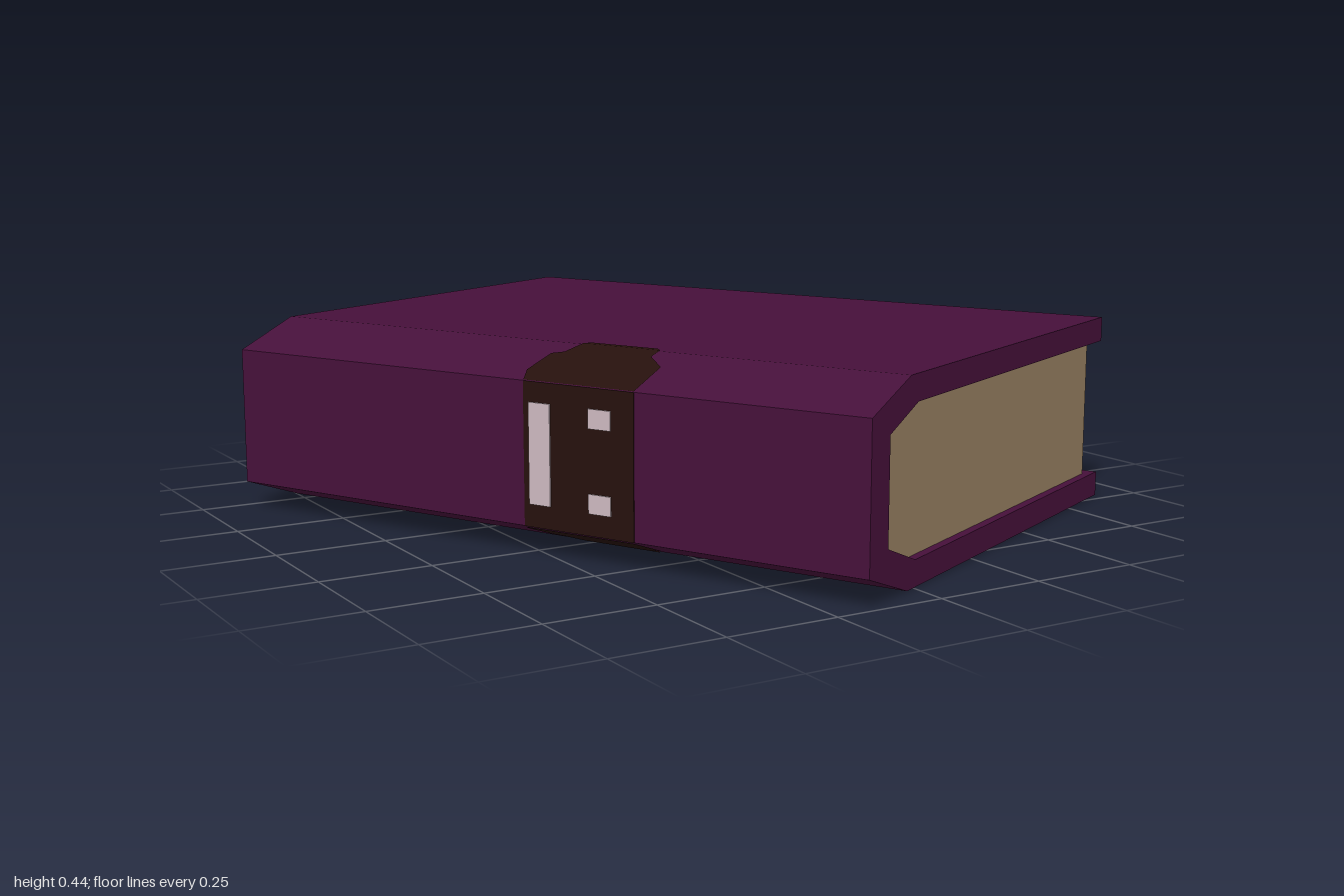
import * as THREE from 'three';

const HEIGHT = 0.434, MID = HEIGHT / 2;
const HALF_W = 0.6, HALF_L = 0.82;
const BEVEL_X = -0.435; // where the spine bevel meets the flat board

function material(name, color, side = THREE.FrontSide) {
  const m = new THREE.MeshStandardMaterial({ color, side });
  m.name = name;
  return m;
}

function mesh(name, geometry, mat) {
  const m = new THREE.Mesh(geometry, mat);
  m.name = name;
  return m;
}

const shapeOf = (points) => new THREE.Shape(points.map(([x, y]) => new THREE.Vector2(x, y)));

// Mirrors the upper half of a profile to the lower half
const mirrored = (upper) => [...upper, ...[...upper].reverse().map(([x, y]) => [x, HEIGHT - y])];

// Extrudes a profile along the length of the book, centred
function prism(points, halfLength) {
  const g = new THREE.ExtrudeGeometry(shapeOf(points), { depth: halfLength * 2, bevelEnabled: false });
  return g.translate(0, 0, -halfLength);
}

export function createModel() {
  const purple = material('coverPurple', 0x46103a);
  const paper = material('paper', 0x988062);
  const red = material('bindingRed', 0x962310);
  const dark = material('claspDark', 0x26100c, THREE.DoubleSide);
  const pale = material('claspPale', 0xccb8c0);

  const book = new THREE.Group();
  book.name = 'book';

  // Cover: C-shaped section with bevelled spine corners
  book.add(mesh('cover', prism(mirrored([
    [-HALF_W, HEIGHT - 0.06], [BEVEL_X, HEIGHT], [HALF_W, HEIGHT], [HALF_W, HEIGHT - 0.057],
    [-0.4, HEIGHT - 0.057], [-0.522, 0.33],
  ]), HALF_L), purple));

  // Page block and the red binding behind it
  book.add(mesh('pages', prism(mirrored([
    [-0.483, 0.345], [-0.4, HEIGHT - 0.057], [0.56, HEIGHT - 0.057],
  ]), HALF_L - 0.02), paper));
  book.add(mesh('binding', prism(mirrored([[-0.522, 0.33], [-0.483, 0.345]]), HALF_L - 0.02), red));

  // Clasp ornament on the spine
  const spinePlate = (name, z0, z1, y0, y1, lift, mat) => {
    const plate = mesh(name, new THREE.BoxGeometry(0.004, y1 - y0, z1 - z0), mat);
    plate.position.set(-HALF_W - lift, (y0 + y1) / 2, (z0 + z1) / 2);
    book.add(plate);
  };
  spinePlate('claspSpine', 0, 0.28, 0.06, HEIGHT - 0.06, 0, dark);
  spinePlate('claspLongInlay', 0.015, 0.07, 0.11, 0.33, 0.003, pale);
  spinePlate('claspUpperInlay', 0.168, 0.224, 0.288, 0.33, 0.003, pale);
  spinePlate('claspLowerInlay', 0.168, 0.224, 0.108, 0.15, 0.003, pale);

  // Clasp leaves: over the bevel, with a tip on the flat board, above and below
  const leafParts = {
    Bevel: [[-0.6, 0], [-0.56, -0.02], [-0.487, -0.01], [-0.476, 0.018], [BEVEL_X, 0.038],
      [BEVEL_X, 0.236], [-0.463, 0.232], [-0.5, 0.28], [-0.6, 0.28]],
    Tip: [[BEVEL_X, 0.038], [-0.418, 0.048], [-0.417, 0.218], [BEVEL_X, 0.236]],
  };
  for (const side of [1, -1]) {
    for (const [part, points] of Object.entries(leafParts)) {
      const g = new THREE.ShapeGeometry(shapeOf(points));
      const p = g.attributes.position;
      for (let i = 0; i < p.count; i++) {
        const x = p.getX(i), z = p.getY(i);
        const drop = 0.06 * Math.max(0, (BEVEL_X - x) / (BEVEL_X + HALF_W));
        p.setXYZ(i, x, MID + side * (MID - drop + 0.002), z);
      }
      // Keep the front faces outward
      if (side > 0) {
        const idx = g.index;
        for (let i = 0; i < idx.count; i += 3) {
          const a = idx.getX(i);
          idx.setX(i, idx.getX(i + 1));
          idx.setX(i + 1, a);
        }
      }
      g.computeVertexNormals();
      book.add(mesh((side > 0 ? 'upper' : 'lower') + 'Clasp' + part, g, dark));
    }
  }

  book.rotation.y = 0.456;
  const model = new THREE.Group();
  model.name = 'model';
  model.add(book);
  return model;
}
